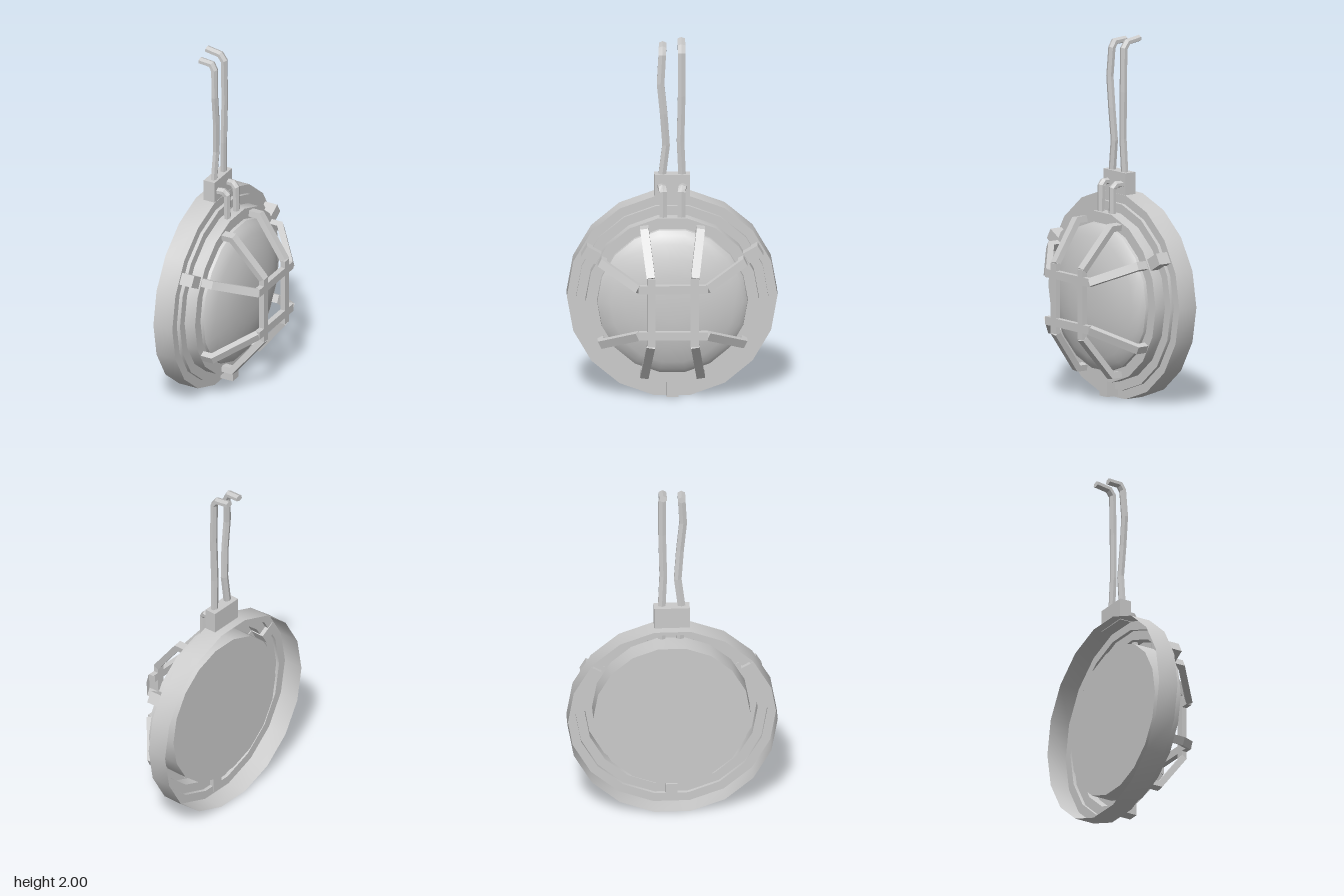
import * as THREE from 'three';
import { toCreasedNormals } from 'three/addons/utils/BufferGeometryUtils.js';

const CY = 0.567; // height of the lamp's axis, which runs along x
const flat = new THREE.MeshStandardMaterial({ color: 0xcccccc, flatShading: true });
const smooth = new THREE.MeshStandardMaterial({ color: 0xcccccc, side: THREE.DoubleSide });

function add(parent, name, geometry, material = flat) {
  const mesh = new THREE.Mesh(geometry, material);
  mesh.name = name;
  parent.add(mesh);
  return mesh;
}

// Revolves [radius, x] points about the lamp's axis, smooth around but sharp at the steps
function revolve(profile) {
  const g = new THREE.LatheGeometry(profile.map(([r, x]) => new THREE.Vector2(r, x)), 18)
    .rotateZ(-Math.PI / 2).translate(0, CY, 0);
  return toCreasedNormals(g, THREE.MathUtils.degToRad(35));
}

// Sweeps a convex section along a bent path with mitred corners and capped ends
function sweep(path, section, sideAxis) {
  const pts = path.map(p => new THREE.Vector3(...p));
  const pos = [], idx = [], m = section.length, last = pts.length - 1;
  pts.forEach((p, i) => {
    const into = pts[Math.max(i, 1)].clone().sub(pts[Math.max(i, 1) - 1]).normalize();
    const k = Math.min(i, last - 1);
    const out = pts[k + 1].clone().sub(pts[k]).normalize();
    const t = into.clone().add(out).normalize();
    const n = sideAxis.clone().cross(t).normalize();
    const s = n.clone().cross(t);
    const mitre = 1 / t.dot(into);
    for (const [u, v] of section) {
      pos.push(...p.clone().addScaledVector(s, u).addScaledVector(n, v * mitre).toArray());
    }
    if (i < last) {
      for (let j = 0; j < m; j++) {
        const a = i * m + j, b = i * m + (j + 1) % m;
        idx.push(a, b, b + m, a, b + m, a + m);
      }
    }
  });
  for (let j = 1; j < m - 1; j++) {
    idx.push(0, j + 1, j);
    idx.push(last * m, last * m + j, last * m + j + 1);
  }
  const g = new THREE.BufferGeometry();
  g.setAttribute('position', new THREE.Float32BufferAttribute(pos, 3));
  g.setIndex(idx);
  const result = g.toNonIndexed();
  result.computeVertexNormals();
  return result;
}

export function createModel() {
  const model = new THREE.Group();
  model.name = 'bulkheadLamp';

  // Stepped housing, open at the back
  add(model, 'housing', revolve([
    [0.575, -0.218], [0.575, -0.1], [0.525, -0.1], [0.525, -0.08],
    [0.473, -0.08], [0.473, -0.015], [0.41, -0.015],
  ]), smooth);

  // Glass with a flat back set inside the housing and a shallow dome in front
  add(model, 'glassDome', revolve([
    [0, -0.155], [0.43, -0.155], [0.43, -0.03], [0.413, -0.02], [0.41, 0.002], [0.385, 0.024],
    [0.34, 0.044], [0.26, 0.069], [0.17, 0.085], [0.09, 0.091], [0, 0.092],
  ]), smooth);

  // Guard cage: crossed bars in front, with eight legs bent back to the rim
  const cage = new THREE.Group();
  cage.name = 'guardCage';
  cage.position.y = CY;
  model.add(cage);
  const barSection = [[-0.023, -0.017], [0.023, -0.017], [0.023, 0.017], [-0.023, 0.017]];
  const addLeg = (name, [y0, z0], [y1, z1]) => {
    const path = [[-0.02, y1, z1], [0.043, y1, z1], [0.216, y0, z0]];
    const side = new THREE.Vector3(0, z0 - z1, y1 - y0).normalize();
    add(cage, name, sweep(path, barSection, side));
  };
  for (const s of [-1, 1]) {
    add(cage, 'uprightBar', new THREE.BoxGeometry(0.03, 0.39, 0.046).translate(0.216, 0, s * 0.118));
    add(cage, 'levelBar', new THREE.BoxGeometry(0.03, 0.046, 0.38).translate(0.216, s * 0.132, 0));
    for (const e of [-1, 1]) {
      addLeg('uprightLeg', [e * 0.19, s * 0.12], [e * 0.41, s * 0.152]);
      addLeg('levelLeg', [s * 0.132, e * 0.185], [s * 0.228, e * 0.383]);
    }
  }

  // Three clips around the rim
  for (const degrees of [30, 150, 270]) {
    const clip = add(model, 'rimClip', new THREE.BoxGeometry(0.08, 0.066, 0.095).translate(-0.064, 0, 0.508));
    clip.position.y = CY;
    clip.rotation.x = -THREE.MathUtils.degToRad(degrees);
  }

  // Cable block on top
  add(model, 'cableBlock', new THREE.BoxGeometry(0.068, 0.125, 0.195).translate(-0.136, 1.1925, 0));

  // Cables: long tails rising from the block and short hooks into the housing
  const round = Array.from({ length: 6 }, (_, i) => {
    const a = (i + 0.5) * Math.PI / 3;
    return [0.024 * Math.cos(a), 0.018 * Math.sin(a)];
  });
  const z = new THREE.Vector3(0, 0, 1);
  add(model, 'cableTail', sweep([
    [-0.13, 1.24, 0.055], [-0.127, 1.42, 0.033], [-0.12, 1.6, 0.046], [-0.12, 1.77, 0.063],
    [-0.127, 1.93, 0.054], [-0.145, 1.962, 0.052], [-0.218, 1.967, 0.05],
  ], round, z));
  add(model, 'cableTail', sweep([
    [-0.13, 1.24, -0.055], [-0.125, 1.44, -0.046], [-0.122, 1.7, -0.052],
    [-0.126, 1.94, -0.052], [-0.15, 1.973, -0.052], [-0.233, 1.986, -0.052],
  ], round, z));
  for (const s of [-1, 1]) {
    add(model, 'cableHook', sweep([
      [-0.12, 1.19, s * 0.06], [-0.07, 1.192, s * 0.055], [-0.05, 1.172, s * 0.05], [-0.047, 1.0, s * 0.05],
    ], round, z));
  }
  return model;
}
